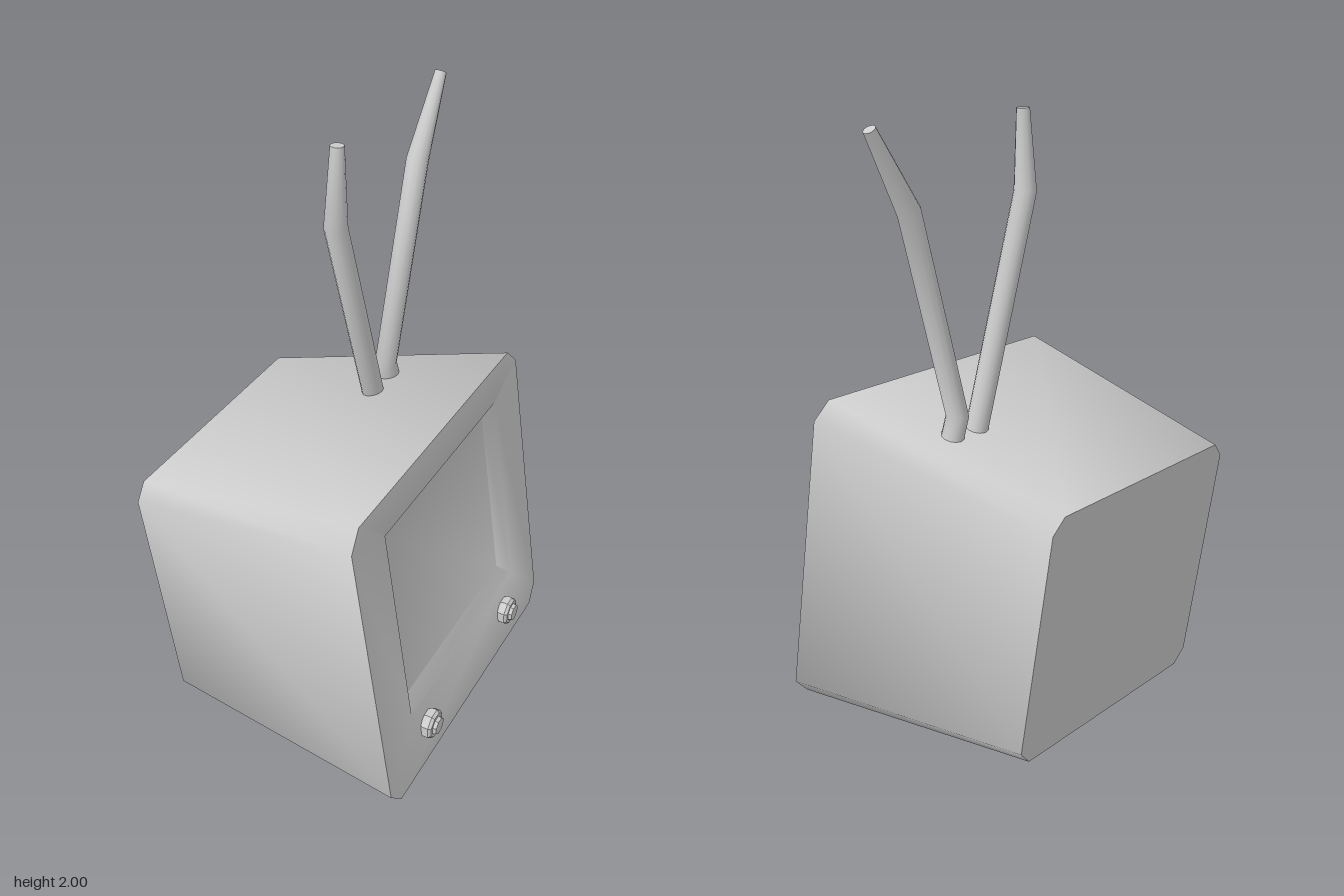
import * as THREE from 'three';
import { toCreasedNormals } from 'three/addons/utils/BufferGeometryUtils.js';

const material = new THREE.MeshStandardMaterial({ color: 0xcccccc });

function addMesh(parent, name, geometry) {
  const mesh = new THREE.Mesh(geometry, material);
  mesh.name = name;
  parent.add(mesh);
  return mesh;
}

// Skins a list of equal-sized rings (counter-clockwise about the travel direction) and caps both ends.
function loft(rings, crease) {
  const n = rings[0].length;
  const index = [];
  for (let i = 0; i < rings.length - 1; i++) {
    for (let j = 0; j < n; j++) {
      const k = (j + 1) % n;
      const a = i * n + j, b = i * n + k, c = b + n, d = a + n;
      index.push(a, b, c, a, c, d);
    }
  }
  const last = (rings.length - 1) * n;
  for (let j = 1; j < n - 1; j++) {
    index.push(0, j + 1, j, last, last + j, last + j + 1);
  }
  const geometry = new THREE.BufferGeometry();
  geometry.setAttribute('position', new THREE.Float32BufferAttribute(rings.flat(2), 3));
  geometry.setIndex(index);
  return toCreasedNormals(geometry, crease);
}

// Rectangle with chamfered corners on a plane leaning back towards -x with height.
function chamferedRing(x, z0, z1, y0, y1, c) {
  const outline = [
    [z0 + c, y0], [z0, y0 + c], [z0, y1 - c], [z0 + c, y1],
    [z1 - c, y1], [z1, y1 - c], [z1, y0 + c], [z1 - c, y0],
  ];
  return outline.map(([z, y]) => [x - 0.15 * y, y, z]);
}

// Bent rod in a plane of constant x, through points [y, z, radius] with mitred joints.
function rod(x, path, sides = 12) {
  const dir = (a, b) => new THREE.Vector2(b[1] - a[1], b[0] - a[0]).normalize();
  const rings = path.map((p, i) => {
    const before = dir(path[Math.max(i - 1, 0)], path[Math.max(i, 1)]);
    const after = i < path.length - 1 ? dir(p, path[i + 1]) : before;
    const t = before.clone().add(after).normalize();
    return Array.from({ length: sides }, (_, j) => {
      const angle = (j / sides) * Math.PI * 2;
      const u = p[2] * Math.cos(angle), v = p[2] * Math.sin(angle);
      return [x + u, p[0] - v * -t.x, p[1] - v * t.y];
    });
  });
  return loft(rings, 0.9);
}

export function createModel() {
  const model = new THREE.Group();
  model.name = 'television';

  // Cabinet widening to the front, with the sunken screen facing +x
  addMesh(model, 'cabinet', loft([
    chamferedRing(-0.4, -0.425, 0.535, 0, 0.868, 0.05),
    chamferedRing(0.5, -0.545, 0.657, 0, 1.092, 0.06),
    chamferedRing(0.5, -0.347, 0.463, 0.25, 0.97, 0.002),
    chamferedRing(0.463, -0.315, 0.432, 0.285, 0.938, 0.002),
  ], 0.95));

  // Two stepped knobs under the screen
  const knobProfile = [
    [0, 0], [0.045, 0], [0.053, 0.012], [0.053, 0.03], [0.045, 0.04],
    [0.034, 0.04], [0.03, 0.052], [0, 0.052],
  ].map(([r, h]) => new THREE.Vector2(r, h));
  for (const [name, z] of [['leftKnob', 0.373], ['rightKnob', -0.258]]) {
    const geometry = toCreasedNormals(new THREE.LatheGeometry(knobProfile, 8, Math.PI / 8), 0.6);
    const knob = addMesh(model, name, geometry);
    knob.rotation.z = -Math.PI / 2;
    knob.position.set(0.474, 0.145, z);
  }

  // Pair of bent, tapering antennas
  addMesh(model, 'frontAntenna', rod(-0.03, [
    [0.96, -0.194, 0.038], [1.735, 0.068, 0.038], [1.998, 0.055, 0.022],
  ]));
  addMesh(model, 'backAntenna', rod(-0.03, [
    [0.96, -0.315, 0.038], [1.06, -0.278, 0.038], [1.735, -0.485, 0.038], [1.985, -0.642, 0.02],
  ]));

  return model;
}
